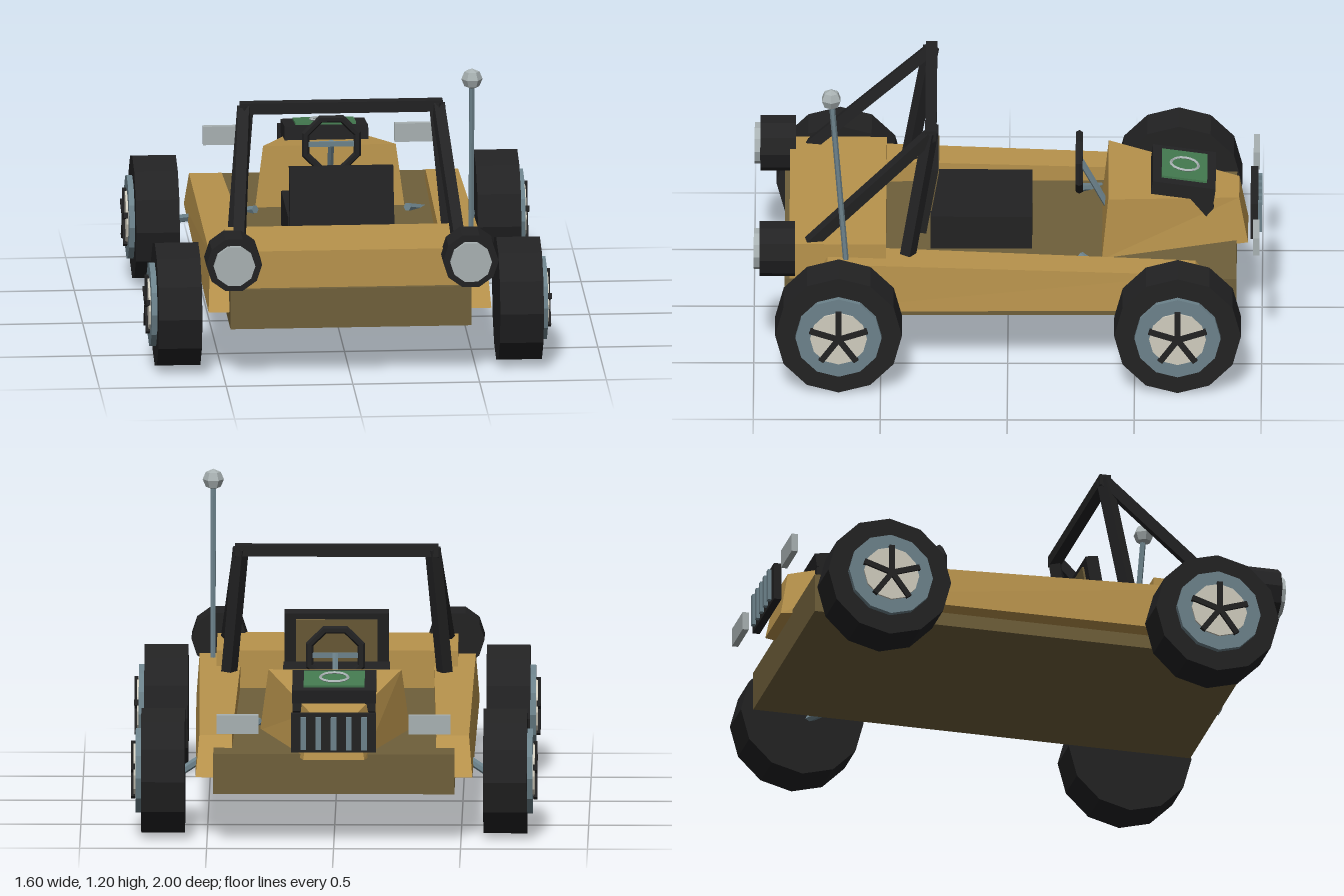
import * as THREE from 'three';

const mat = (name, color) => Object.assign(new THREE.MeshStandardMaterial({ color }), { name });

export function createModel() {
  const tan = mat('tan bodywork', 0xb8934c);
  const brown = mat('dark brown', 0x6f5f3a);
  const black = mat('black', 0x222223);
  const steel = mat('blue grey metal', 0x6c828b);
  const silver = mat('light grey', 0xa8b1b2);
  const cream = mat('pale hub', 0xd0ccbe);
  const green = mat('green panel', 0x447a50);

  const model = new THREE.Group();
  model.name = 'buggy';

  // Faceted mesh with hard normals
  const add = (name, geometry, material, pos = [0, 0, 0], rot = [0, 0, 0], parent = model) => {
    const geo = geometry.index ? geometry.toNonIndexed() : geometry;
    geo.computeVertexNormals();
    const mesh = new THREE.Mesh(geo, material);
    mesh.name = name;
    mesh.position.set(...pos);
    mesh.rotation.set(...rot);
    parent.add(mesh);
    return mesh;
  };
  const box = (name, size, material, pos, rot, parent) =>
    add(name, new THREE.BoxGeometry(...size), material, pos, rot, parent);

  // Box whose eight corners are placed by a rule of their signs
  const shapedBox = (name, material, rule) => {
    const geo = new THREE.BoxGeometry(2, 2, 2);
    const p = geo.attributes.position;
    for (let i = 0; i < p.count; i++) p.setXYZ(i, ...rule(p.getX(i), p.getY(i), p.getZ(i)));
    return add(name, geo, material);
  };

  // Straight bar between two points
  const beam = (name, a, b, width, material, sides = 4) => {
    const from = new THREE.Vector3(...a), to = new THREE.Vector3(...b);
    const dir = to.clone().sub(from);
    const geo = sides === 4
      ? new THREE.BoxGeometry(width, dir.length(), width)
      : new THREE.CylinderGeometry(width / 2, width / 2, dir.length(), sides);
    const mesh = add(name, geo, material, from.add(to).multiplyScalar(0.5).toArray());
    mesh.quaternion.setFromUnitVectors(new THREE.Vector3(0, 1, 0), dir.normalize());
  };

  // Chassis tub and rear deck
  box('floorPan', [0.95, 0.16, 1.78], brown, [0, 0.28, -0.01]);
  box('rearDeck', [0.95, 0.15, 0.38], tan, [0, 0.435, 0.67]);

  // Hood, tapering toward the grille
  shapedBox('hood', tan, (x, y, z) => {
    if (z > 0) return y > 0 ? [x * 0.262, 0.603, -0.395] : [x * 0.295, 0.355, -0.37];
    return y > 0 ? [x * 0.095, 0.53, -0.91] : [x * 0.12, 0.345, -0.945];
  });

  // Cooling unit on the hood, leaning with its slope
  const cooler = new THREE.Group();
  cooler.name = 'coolingUnit';
  cooler.position.set(0, 0.59, -0.69);
  cooler.rotation.x = -0.14;
  model.add(cooler);
  box('coolerFrame', [0.33, 0.055, 0.25], black, [0, 0, 0], [0, 0, 0], cooler);
  box('coolerPanel', [0.24, 0.009, 0.18], green, [0, 0.032, 0], [0, 0, 0], cooler);
  add('coolerRing', new THREE.TorusGeometry(0.055, 0.006, 4, 16), silver,
    [0, 0.04, 0], [Math.PI / 2, 0, 0], cooler);

  // Grille with upright bars
  box('grille', [0.335, 0.155, 0.03], black, [0, 0.46, -0.97]);
  for (let i = -2; i <= 2; i++)
    box('grilleBar', [0.022, 0.13, 0.016], steel, [i * 0.06, 0.46, -0.992]);

  // Seat
  box('seatBase', [0.42, 0.14, 0.4], black, [0, 0.43, 0.105]);
  box('seatBack', [0.41, 0.28, 0.05], black, [0, 0.565, 0.323], [-0.17, 0, 0]);
  box('seatBackPanel', [0.32, 0.18, 0.009], brown, [0, 0.585, 0.291], [-0.17, 0, 0]);

  // Steering wheel and column
  add('steeringWheel', new THREE.TorusGeometry(0.11, 0.016, 6, 8), black,
    [0, 0.638, -0.28], [0, 0, Math.PI / 8]);
  beam('steeringColumn', [0, 0.645, -0.285], [0, 0.43, -0.4], 0.026, steel, 6);
  box('steeringSpoke', [0.2, 0.02, 0.012], steel, [0, 0.638, -0.28]);

  // Roll bar cross tube
  box('rollBarTop', [0.8, 0.045, 0.045], black, [0, 0.947, 0.303]);

  for (const s of [1, -1]) {
    // Side pods, with ends sloping inward
    shapedBox('sidePod', tan, (x, y, z) => {
      const outer = x * s > 0, rear = z > 0, top = y > 0;
      const w = outer ? (rear ? 0.558 : 0.545) - (top ? 0.014 : 0) : (rear ? 0.378 : 0.402);
      return [s * w, top ? (rear ? 0.455 : 0.405) : 0.255,
        rear ? (top ? 0.71 : 0.825) : (top ? -0.74 : -0.84)];
    });

    // Cooling unit side brackets
    const tab = new THREE.Shape([[0.7, 0.58], [0.805, 0.59], [0.81, 0.515], [0.78, 0.48]]
      .map(([z, y]) => new THREE.Vector2(z, y)));
    add('coolerBracket', new THREE.ExtrudeGeometry(tab, { depth: 0.04, bevelEnabled: false }), black,
      [s * 0.143 - 0.02, 0, 0], [0, Math.PI / 2, 0]);

    // Headlights
    box('headlight', [0.165, 0.075, 0.025], silver, [s * 0.378, 0.495, -0.978]);

    // Roll bar uprights and rear braces
    beam('rollBarUpright', [s * 0.378, 0.955, 0.305], [s * 0.428, 0.4, 0.4], 0.046, black);
    beam('rollBarBrace', [s * 0.382, 0.945, 0.305], [s * 0.435, 0.495, 0.78], 0.044, black);

    // Rear lamps
    const facing = [Math.PI / 2, Math.PI / 10 * 5, 0];
    add('lampHousing', new THREE.CylinderGeometry(0.11, 0.11, 0.14, 10), black,
      [s * 0.467, 0.487, 0.908], facing);
    add('lampLens', new THREE.CylinderGeometry(0.082, 0.082, 0.03, 10), silver,
      [s * 0.467, 0.487, 0.985], facing);

    // Front suspension arms
    beam('suspensionArm', [s * 0.62, 0.235, -0.67], [s * 0.3, 0.375, -0.285], 0.034, steel, 6);

    // Wheels
    for (const z of [0.665, -0.67]) {
      const wheel = new THREE.Group();
      wheel.name = z > 0 ? 'rearWheel' : 'frontWheel';
      wheel.position.set(0, 0.25, z);
      model.add(wheel);
      const disc = (name, r, x0, x1, material) =>
        add(name, new THREE.CylinderGeometry(r, r, x1 - x0, 12), material,
          [s * (x0 + x1) / 2, 0, 0], [0, 0, Math.PI / 2], wheel);
      disc('tire', 0.25, 0.588, 0.76, black);
      disc('rim', 0.17, 0.76, 0.782, steel);
      disc('hubcap', 0.112, 0.782, 0.79, cream);
      for (let i = 0; i < 5; i++) {
        const a = i * Math.PI * 2 / 5;
        box('spoke', [0.016, 0.118, 0.022], black,
          [s * 0.792, Math.cos(a) * 0.059, Math.sin(a) * 0.059], [a, 0, 0], wheel);
      }
    }
  }

  // Antenna with a faceted tip
  beam('antennaRod', [0.49, 0.42, 0.635], [0.49, 1.14, 0.693], 0.023, steel, 6);
  add('antennaTip', new THREE.SphereGeometry(0.042, 6, 4), silver, [0.49, 1.155, 0.695]);

  return model;
}
